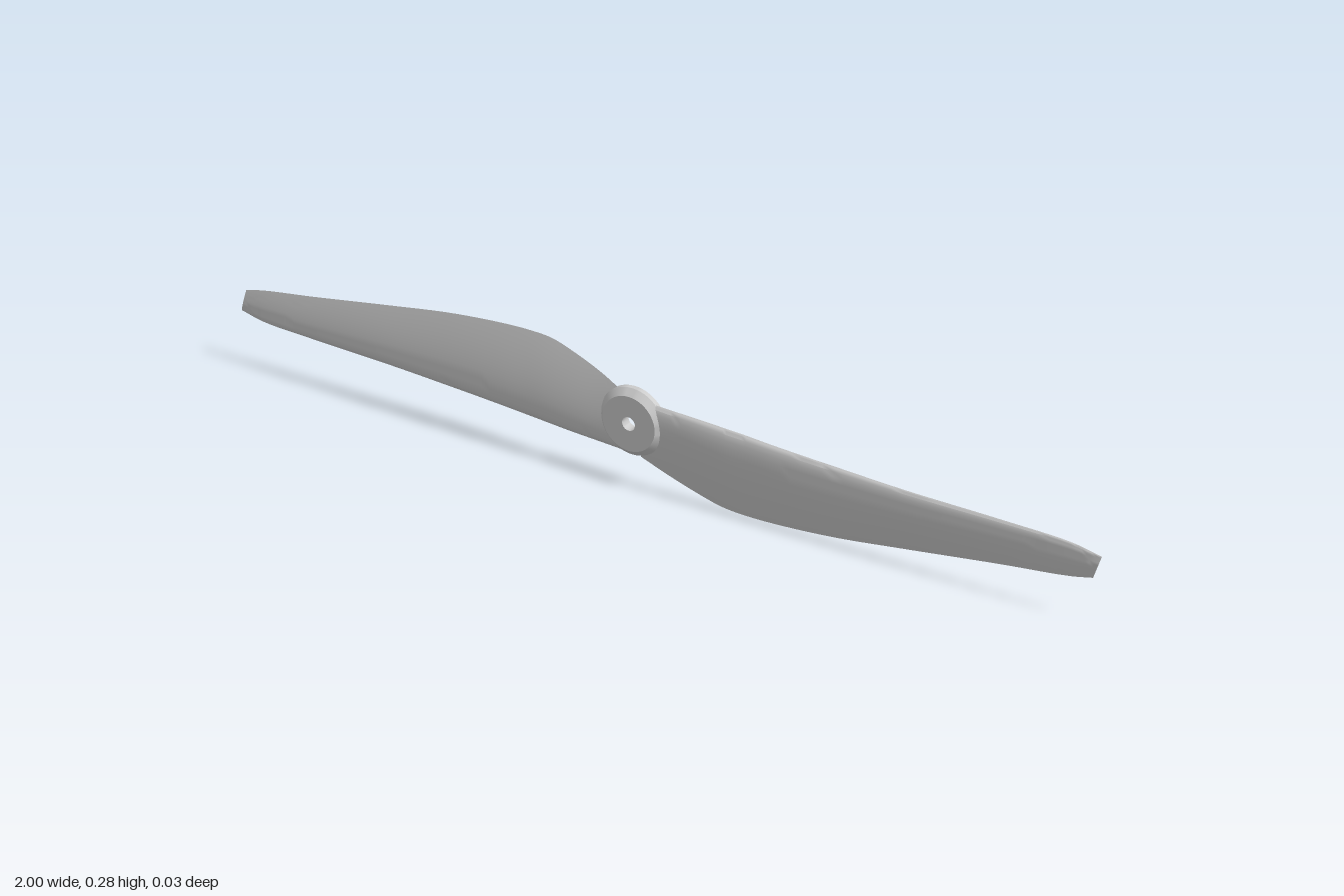
import * as THREE from 'three';
import { toCreasedNormals } from 'three/addons/utils/BufferGeometryUtils.js';

const material = new THREE.MeshStandardMaterial({ color: 0xcccccc });

// Blade stations from root to tip: [x, leading y, trailing y, leading z, trailing z, front bulge]
const stations = [
  [0.02, 0.062, -0.067, 0.002, 0.001, 0.010],
  [0.08, 0.059, -0.095, 0.002, -0.006, 0.011],
  [0.15, 0.056, -0.121, 0.001, -0.011, 0.013],
  [0.20, 0.053, -0.135, 0.000, -0.0135, 0.014],
  [0.25, 0.050, -0.1385, -0.001, -0.0138, 0.014],
  [0.32, 0.045, -0.137, -0.001, -0.0138, 0.0135],
  [0.45, 0.038, -0.126, -0.002, -0.0135, 0.012],
  [0.60, 0.031, -0.104, -0.003, -0.013, 0.010],
  [0.80, 0.0265, -0.073, -0.006, -0.012, 0.007],
  [0.94, 0.021, -0.053, -0.008, -0.011, 0.005],
  [1.00, 0.009, -0.042, -0.009, -0.011, 0.003],
];

// Smooth curve through one set of station values
const curve = (pick) => new THREE.CatmullRomCurve3(stations.map((s) => new THREE.Vector3(...pick(s))));

function bladeGeometry() {
  const leading = curve((s) => [s[0], s[1], s[3]]);
  // the tip is cut at a slight slant
  const trailing = curve((s) => [s[0] === 1 ? 0.986 : s[0], s[2], s[4]]);
  const bulge = curve((s) => [s[0], s[5], 0]);
  const rows = 60, half = 14, ring = half * 2;
  const position = [], index = [];

  for (let i = 0; i <= rows; i++) {
    const u = i / rows;
    const a = leading.getPoint(u), b = trailing.getPoint(u), h = bulge.getPoint(u).y;
    for (let j = 0; j < ring; j++) {
      // down the front from the leading edge, then back up the hollow rear
      const front = j <= half;
      const k = front ? j / half : (ring - j) / half;
      const t = (1 - Math.cos(Math.PI * k)) / 2;
      const p = a.clone().lerp(b, t);
      p.z += h * (front ? Math.sqrt(t) * (1 - t) * 2.6 : t * (1 - t) * 1.4);
      position.push(p.x, p.y, p.z);
    }
  }
  for (let i = 0; i < rows; i++) {
    for (let j = 0; j < ring; j++) {
      const a = i * ring + j, b = i * ring + (j + 1) % ring;
      index.push(a, b, b + ring, a, b + ring, a + ring);
    }
  }
  // end caps
  const tip = rows * ring;
  for (let j = 1; j < ring - 1; j++) {
    index.push(0, j + 1, j, tip, tip + j, tip + j + 1);
  }
  const geometry = new THREE.BufferGeometry();
  geometry.setAttribute('position', new THREE.Float32BufferAttribute(position, 3));
  geometry.setIndex(index);
  return toCreasedNormals(geometry, 0.7);
}

function hubGeometry() {
  // bored disc with a chamfered front rim
  const profile = [
    [0.015, 0.017], [0.015, -0.007], [0.075, -0.007],
    [0.075, 0.004], [0.061, 0.017], [0.015, 0.017],
  ].map(([r, z]) => new THREE.Vector2(r, z));
  const geometry = new THREE.LatheGeometry(profile, 48);
  geometry.rotateX(Math.PI / 2);
  return toCreasedNormals(geometry, 0.5);
}

export function createModel() {
  const model = new THREE.Group();
  model.name = 'propeller';

  // Two blades, half a turn apart, set very slightly askew
  const blades = new THREE.Group();
  blades.name = 'blades';
  blades.position.y = 0.1415;
  blades.rotation.y = 0.007;
  const geometry = bladeGeometry();
  ['leftBlade', 'rightBlade'].forEach((name, i) => {
    const blade = new THREE.Mesh(geometry, material);
    blade.name = name;
    blade.rotation.z = i * Math.PI;
    blades.add(blade);
  });
  model.add(blades);

  // Central hub
  const hub = new THREE.Mesh(hubGeometry(), material);
  hub.name = 'hub';
  hub.position.y = 0.151;
  model.add(hub);

  return model;
}
